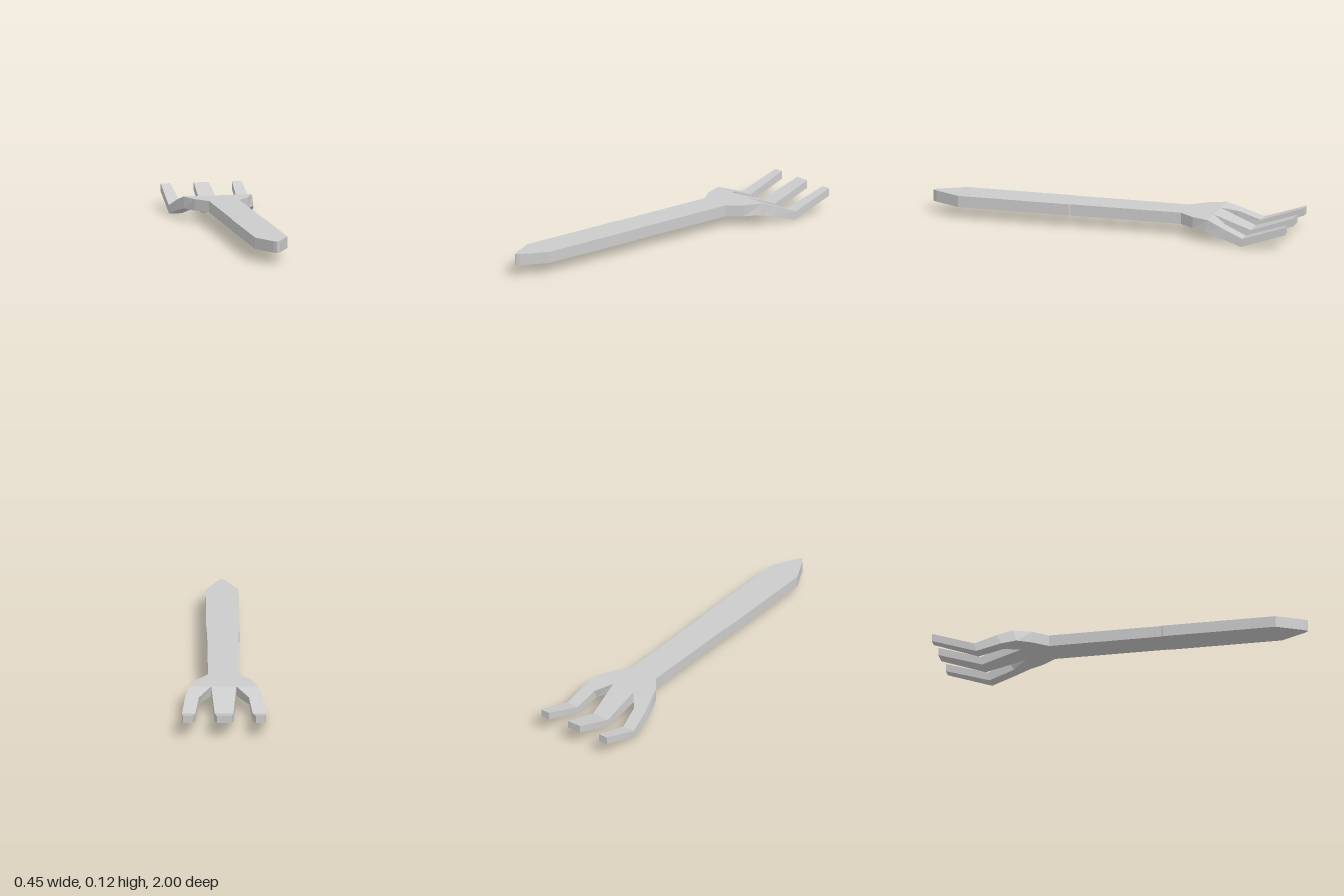
import * as THREE from 'three';

const material = new THREE.MeshStandardMaterial({ color: 0xcccccc, flatShading: true });

// Lofts four-cornered sections running from front (+z) to back (-z).
// Section: [xRight, xLeft, yTop, yBottom, zTop, zBottom]
function loft(name, sections, capFront, capBack) {
  const rings = sections.map(([x0, x1, yt, yb, zt, zb = zt]) => [
    [x0, yb, zb], [x1, yb, zb], [x1, yt, zt], [x0, yt, zt],
  ]);
  const pos = [];
  const quad = (a, b, c, d) => pos.push(...a, ...b, ...c, ...a, ...c, ...d);
  for (let i = 0; i < rings.length - 1; i++) {
    const f = rings[i], b = rings[i + 1];
    for (let k = 0; k < 4; k++) {
      const n = (k + 1) % 4;
      quad(f[k], b[k], b[n], f[n]);
    }
  }
  if (capFront) quad(...rings[0]);
  if (capBack) quad(...rings[rings.length - 1].slice().reverse());
  const geo = new THREE.BufferGeometry();
  geo.setAttribute('position', new THREE.Float32BufferAttribute(pos, 3));
  geo.computeVertexNormals();
  const mesh = new THREE.Mesh(geo, material);
  mesh.name = name;
  return mesh;
}

export function createModel() {
  const group = new THREE.Group();
  group.name = 'handFork';
  const TOP = 0.122, BOTTOM = 0.06;
  const flat = ([z, w]) => [-w, w, TOP, BOTTOM, z];

  // Flat handle with a pointed end
  group.add(loft('handle', [
    [1, 0.002], [0.98, 0.018], [0.84, 0.088], [0.23, 0.088], [0.22, 0.084], [-0.39, 0.083],
  ].map(flat), true, false));

  // Flared head
  group.add(loft('head', [
    ...[[-0.39, 0.083], [-0.47, 0.145]].map(flat),
    [-0.185, 0.185, TOP, BOTTOM, -0.568, -0.548],
  ], false, false));

  // Middle tine dips, then rises to its tip
  group.add(loft('middleTine', [
    [-0.067, 0.067, TOP, BOTTOM, -0.568, -0.548],
    [-0.05, 0.05, 0.045, 0, -0.767, -0.76],
    [-0.04, 0.04, 0.124, 0.082, -1],
  ], false, true));

  // Curved outer tines, mirrored
  const outer = [
    [0.067, 0.185, TOP, BOTTOM, -0.568, -0.548],
    [0.134, 0.207, 0.091, 0.041, -0.65, -0.625],
    [0.153, 0.224, 0.045, 0, -0.767, -0.76],
    [0.168, 0.22, 0.124, 0.082, -1],
  ];
  const mirrored = outer.map(([a, b, ...rest]) => [-b, -a, ...rest]);
  group.add(loft('leftTine', outer, false, true));
  group.add(loft('rightTine', mirrored, false, true));
  return group;
}
